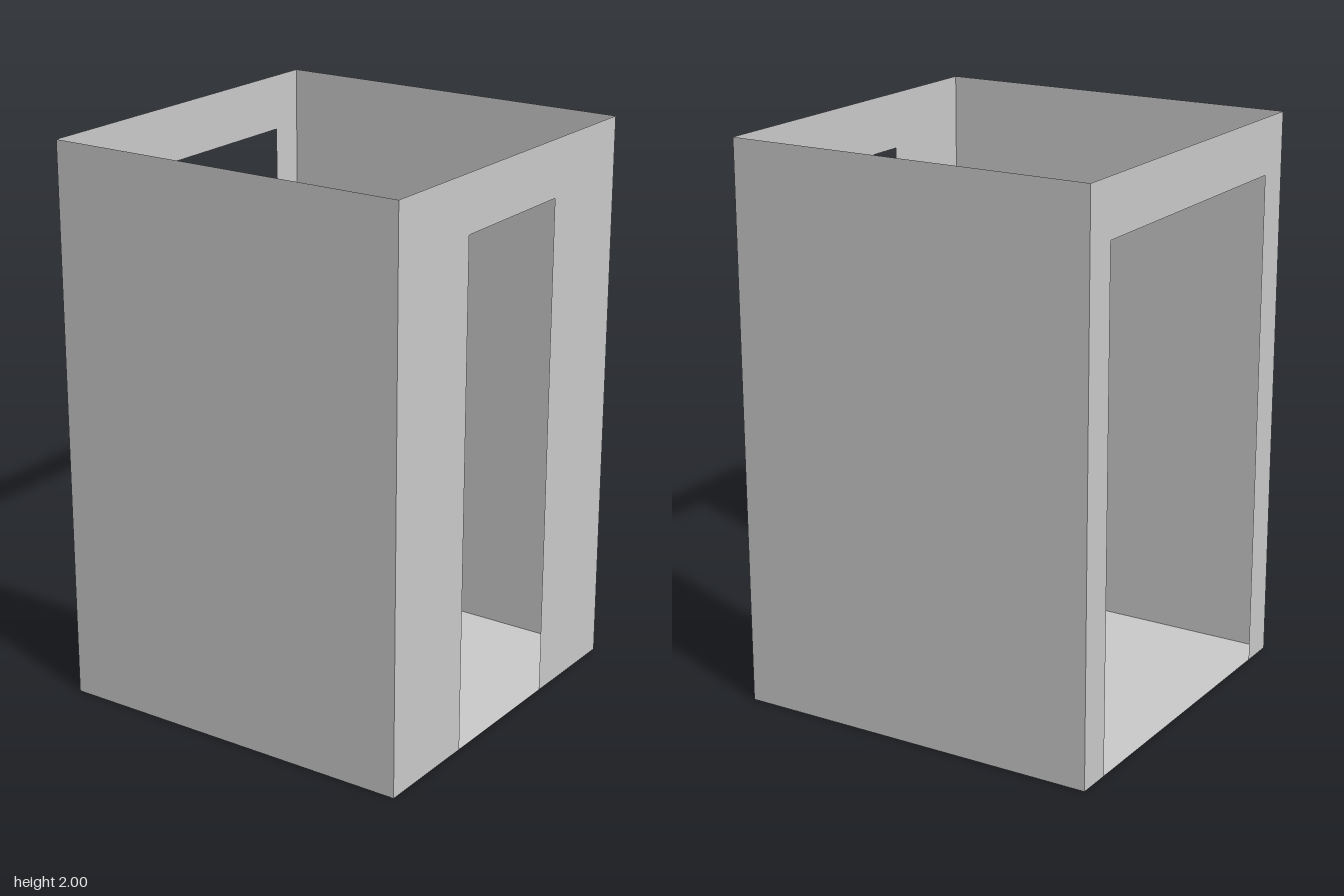
import * as THREE from 'three';

const HEIGHT = 2, HALF = 0.667, DOOR_TOP = 1.8;

export function createModel() {
  const group = new THREE.Group();
  const material = new THREE.MeshStandardMaterial({ color: 0xcccccc, flatShading: true, side: THREE.DoubleSide });

  const add = (name, geometry) => {
    const mesh = new THREE.Mesh(geometry, material);
    mesh.name = name;
    group.add(mesh);
    return mesh;
  };

  // Thin wall with a doorway that is open down to the floor
  const doorWall = (halfDoor) => new THREE.ShapeGeometry(new THREE.Shape([
    [-HALF, 0], [-halfDoor, 0], [-halfDoor, DOOR_TOP], [halfDoor, DOOR_TOP],
    [halfDoor, 0], [HALF, 0], [HALF, HEIGHT], [-HALF, HEIGHT],
  ].map(([x, y]) => new THREE.Vector2(x, y))));

  // Floor; the room has no ceiling
  add('floor', new THREE.PlaneGeometry(2 * HALF, 2 * HALF).rotateX(-Math.PI / 2));

  // Solid front and back walls
  const solidWall = new THREE.PlaneGeometry(2 * HALF, HEIGHT).translate(0, HEIGHT / 2, HALF);
  add('frontWall', solidWall);
  add('backWall', solidWall).rotation.y = Math.PI;

  // Side walls: narrow doorway at +x, wide doorway at -x
  add('narrowDoorWall', doorWall(0.267).translate(0, 0, HALF)).rotation.y = Math.PI / 2;
  add('wideDoorWall', doorWall(0.54).translate(0, 0, HALF)).rotation.y = -Math.PI / 2;

  return group;
}
